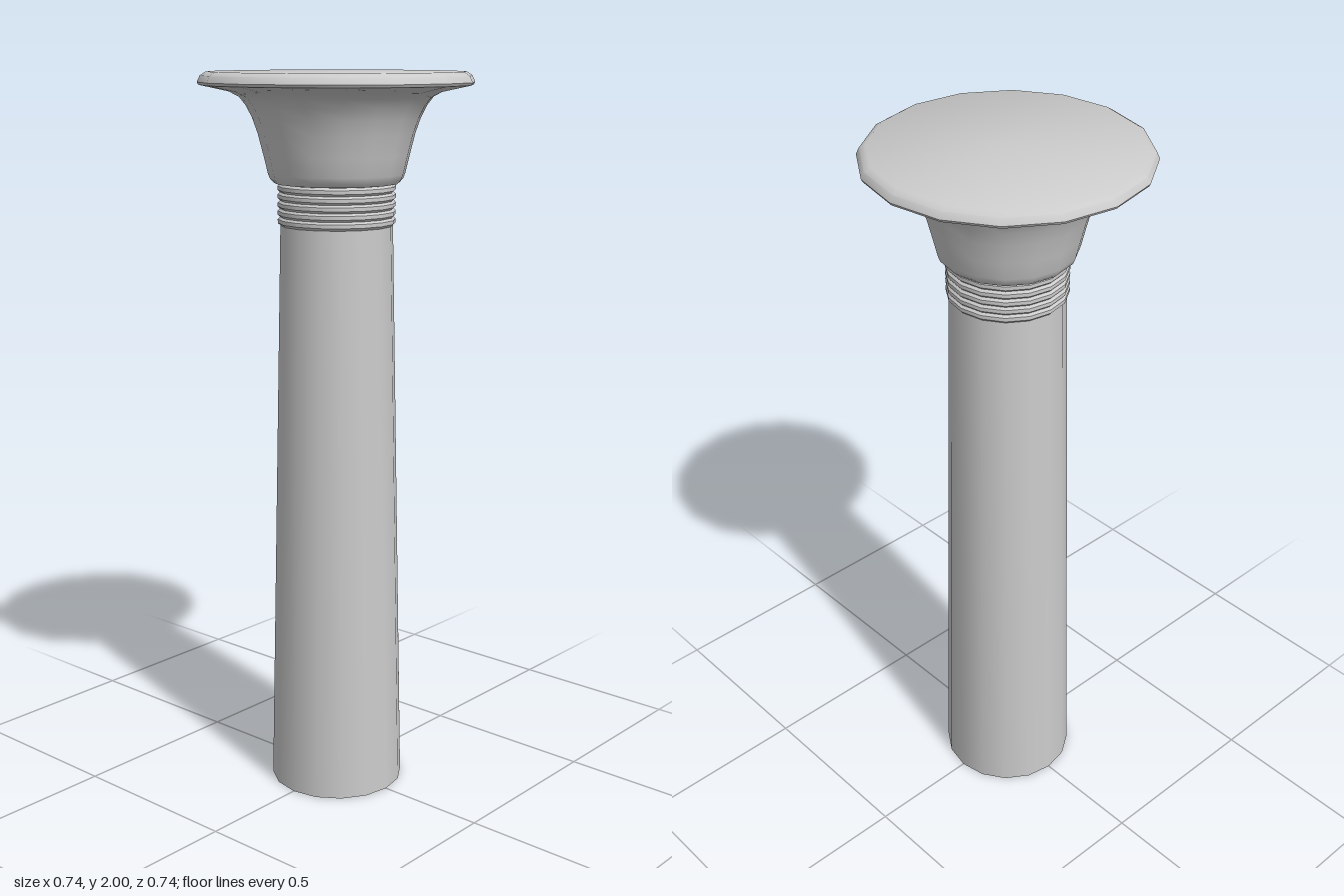
import * as THREE from 'three';
import { toCreasedNormals } from 'three/addons/utils/BufferGeometryUtils.js';

const SIDES = 16;
const material = new THREE.MeshStandardMaterial({ color: 0xcccccc });

// Turned part from a bottom-to-top profile of [radius, height]
function turned(name, profile) {
  const points = profile.map(([r, y]) => new THREE.Vector2(r, y));
  const geometry = toCreasedNormals(new THREE.LatheGeometry(points, SIDES), 0.62);
  const mesh = new THREE.Mesh(geometry, material);
  mesh.name = name;
  return mesh;
}

export function createModel() {
  const column = new THREE.Group();
  column.name = 'column';

  // Tapering shaft with a closed foot
  column.add(turned('shaft', [[0, 0], [0.187, 0], [0.152, 1.6], [0.15, 1.72]]));

  // Fine necking rings under the capital
  const neck = [[0.15, 1.595]];
  for (let i = 0; i < 5; i++) {
    const y = 1.6 + i * 0.022;
    neck.push([0.159, y + 0.004], [0.159, y + 0.014], [0.153, y + 0.02]);
  }
  column.add(turned('neckingRings', neck));

  // Bell-shaped capital flaring into a thin rim
  column.add(turned('capital', [
    [0, 1.71], [0.168, 1.71], [0.178, 1.72], [0.184, 1.735],
    [0.196, 1.785], [0.21, 1.84], [0.224, 1.88], [0.24, 1.912],
    [0.258, 1.935], [0.285, 1.949], [0.364, 1.966], [0.368, 1.973],
    [0.36, 1.99], [0.344, 2], [0, 2],
  ]));

  return column;
}
